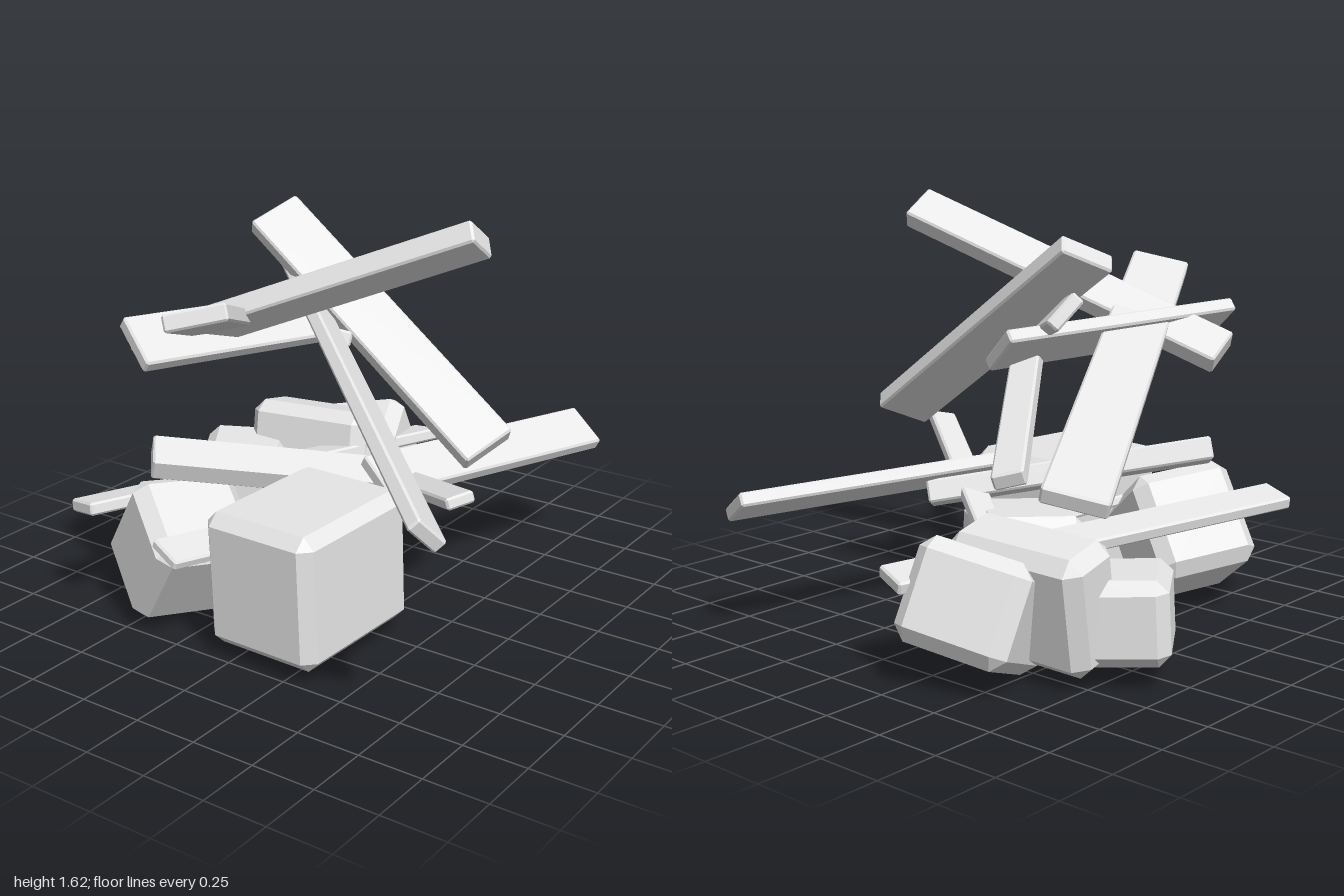
import * as THREE from 'three';
import { ConvexGeometry } from 'three/addons/geometries/ConvexGeometry.js';

const grey = new THREE.MeshStandardMaterial({ color: 0xe7e7e7 });
grey.name = 'paleGrey';

// Box with flat chamfered edges and corners
function chamferBox(sx, sy, sz, c) {
  const points = [];
  for (const i of [-1, 1]) for (const j of [-1, 1]) for (const k of [-1, 1]) {
    const x = sx / 2, y = sy / 2, z = sz / 2;
    points.push(
      new THREE.Vector3(i * x, j * (y - c), k * (z - c)),
      new THREE.Vector3(i * (x - c), j * y, k * (z - c)),
      new THREE.Vector3(i * (x - c), j * (y - c), k * z));
  }
  return new ConvexGeometry(points);
}

// Board from end a to end b; side is the direction of its width
function plank(name, a, b, side, width, thickness) {
  const start = new THREE.Vector3(...a), end = new THREE.Vector3(...b);
  const axis = end.clone().sub(start);
  const length = axis.length();
  axis.normalize();
  const w = new THREE.Vector3(...side);
  w.addScaledVector(axis, -w.dot(axis)).normalize();
  const n = new THREE.Vector3().crossVectors(axis, w);
  const mesh = new THREE.Mesh(chamferBox(length, width, thickness, 0.008), grey);
  mesh.quaternion.setFromRotationMatrix(new THREE.Matrix4().makeBasis(axis, w, n));
  mesh.position.copy(start).add(end).multiplyScalar(0.5);
  mesh.name = name;
  return mesh;
}

// Chunky chamfered block
function stone(name, position, size, rotation, chamfer) {
  const mesh = new THREE.Mesh(chamferBox(...size, chamfer), grey);
  mesh.position.set(...position);
  mesh.rotation.set(...rotation);
  mesh.name = name;
  return mesh;
}

export function createModel() {
  const model = new THREE.Group();
  model.name = 'rubblePile';

  // Blocks at the bottom
  const stones = new THREE.Group();
  stones.name = 'stones';
  stones.add(
    stone('frontLeftStone', [0.14, 0.317, 0.445], [0.495, 0.525, 0.61], [0.02, -0.05, 0.02], 0.045),
    stone('tiltedFrontStone', [-0.39, 0.293, 0.53], [0.40, 0.43, 0.42], [-0.12, -0.45, -0.64], 0.05),
    stone('rightStone', [-0.75, 0.24, -0.32], [0.36, 0.31, 0.36], [0, 0.58, -0.05], 0.045),
    stone('middleStone', [-0.085, 0.26, -0.08], [0.41, 0.39, 0.40], [0.03, 0.95, 0.02], 0.045),
    stone('backRightStone', [-0.51, 0.30, -0.51], [0.57, 0.46, 0.26], [-0.22, 0.06, 0.06], 0.05),
    stone('backStone', [-0.39, 0.268, -0.66], [0.43, 0.38, 0.43], [0.39, 0.35, 0.06], 0.05));
  model.add(stones);

  // Boards lying among the blocks
  const low = new THREE.Group();
  low.name = 'lowPlanks';
  low.add(
    plank('risingLowPlank', [-0.22, 0.38, -0.375], [0.695, 0.655, 0.285], [0.06, 0.02, -0.09], 0.11, 0.045),
    plank('backLowPlank', [0.55, 0.52, -0.97], [0.19, 0.555, 0.08], [0.16, -0.1, 0.065], 0.195, 0.055),
    plank('crossLowPlank', [-0.51, 0.64, 0.555], [0.3, 0.47, -0.2], [0.6, -0.33, 0.69], 0.16, 0.09),
    plank('longLowPlank', [-0.705, 0.45, 0.75], [-0.18, 0.37, -0.89], [0.15, 0.03, 0.04], 0.155, 0.05),
    plank('shortLowPlank', [-0.21, 0.42, 0.85], [0.06, 0.32, -0.23], [0.15, -0.05, 0.03], 0.15, 0.04));
  model.add(low);

  // Crossed boards above
  const high = new THREE.Group();
  high.name = 'highPlanks';
  high.add(
    plank('tallPlank', [-0.6, 1.042, 0.488], [0.644, 1.558, 0.1], [0.01, 0.09, 0.134], 0.168, 0.085),
    plank('steepPlank', [-0.453, 1.46, -0.15], [0.635, 0.742, -0.008], [0.1, 0.08, -0.2], 0.22, 0.075),
    plank('longSlopingPlank', [-0.405, 1.253, -0.215], [0.97, 0.828, 0.947], [0.046, -0.1, -0.088], 0.148, 0.055),
    plank('widePlank', [-0.9, 0.74, -0.765], [-0.065, 1.325, 0.805], [0.18, 0.045, -0.12], 0.23, 0.065),
    plank('narrowPlank', [-0.61, 0.766, -0.75], [0.005, 1.085, 0.065], [0.1, -0.03, -0.065], 0.115, 0.06),
    plank('shortHighPlank', [-0.435, 1.14, 0.715], [-0.125, 1.09, -0.265], [0.17, -0.14, 0.06], 0.22, 0.055));
  model.add(high);

  return model;
}
